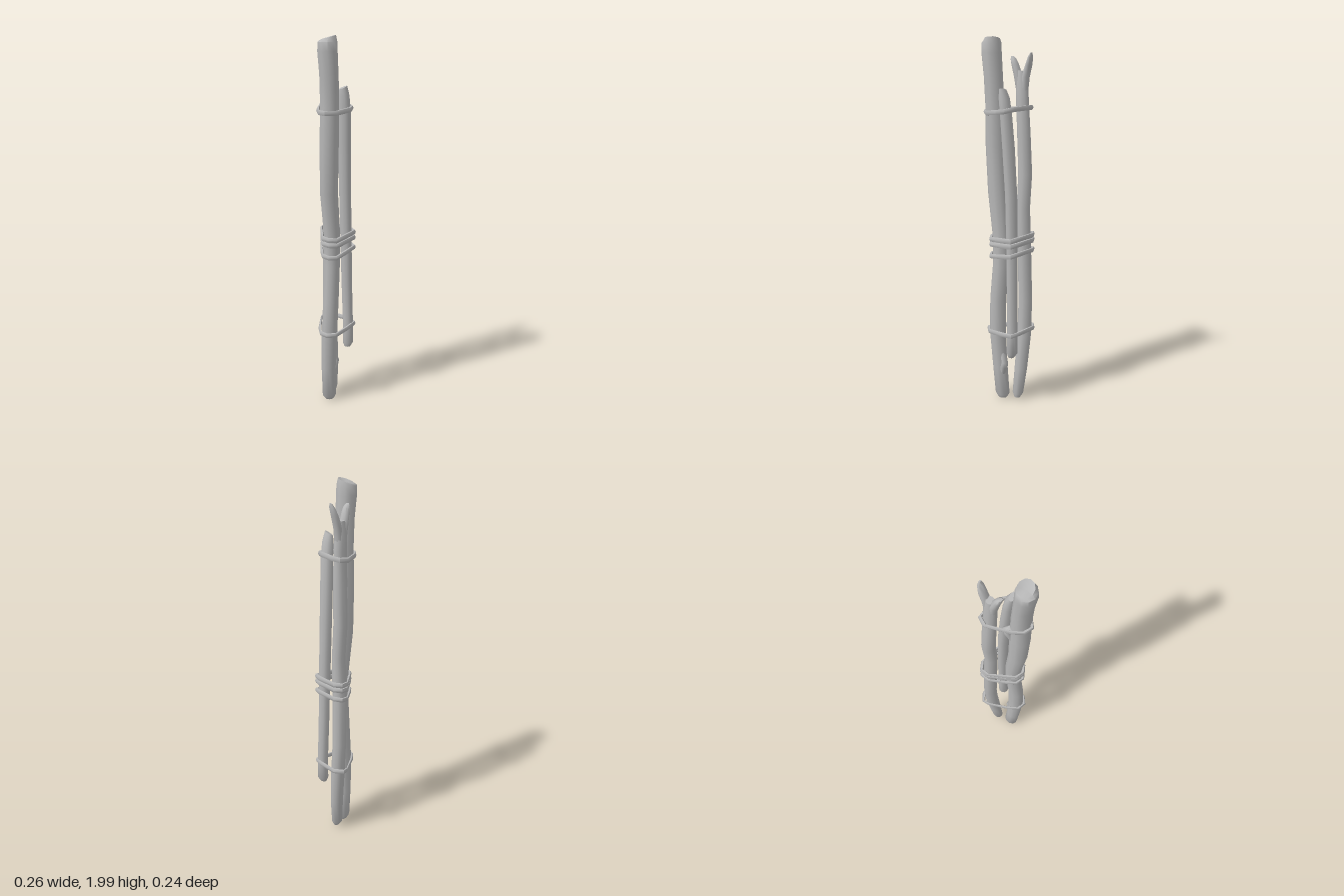
import * as THREE from 'three';
import { toCreasedNormals } from 'three/addons/utils/BufferGeometryUtils.js';

const wood = new THREE.MeshStandardMaterial({ color: 0xb8b8b8 });
wood.name = 'pale grey wood';

// Skin a list of equal-length rings of Vector3; either closed into a loop or capped
function skin(rings, closed, dent = 0) {
  const n = rings[0].length, m = rings.length;
  const pos = [], idx = [];
  rings.forEach(r => r.forEach(p => pos.push(p.x, p.y, p.z)));
  for (let i = 0; i < (closed ? m : m - 1); i++) {
    for (let j = 0; j < n; j++) {
      const k = (j + 1) % n, i2 = (i + 1) % m;
      const a = i * n + j, b = i * n + k, c = i2 * n + j, d = i2 * n + k;
      idx.push(a, b, c, b, d, c);
    }
  }
  if (!closed) {
    [0, m - 1].forEach(i => {
      const c = new THREE.Vector3();
      rings[i].forEach(p => c.addScaledVector(p, 1 / n));
      if (i) c.y -= dent;
      const ci = pos.length / 3;
      pos.push(c.x, c.y, c.z);
      for (let j = 0; j < n; j++) {
        const a = i * n + j, b = i * n + (j + 1) % n;
        if (i) idx.push(ci, a, b); else idx.push(ci, b, a);
      }
    });
  }
  const g = new THREE.BufferGeometry();
  g.setAttribute('position', new THREE.Float32BufferAttribute(pos, 3));
  g.setIndex(idx);
  return toCreasedNormals(g, 0.95);
}

// Stick from sections [y, x, z, radiusX, radiusZ]; tilt slopes the top end
function stick(sections, tilt = 0, dent = 0, sides = 10) {
  const last = sections.length - 1;
  return skin(sections.map(([y, x, z, rx, rz], i) => {
    const ring = [];
    for (let j = 0; j < sides; j++) {
      const a = j / sides * Math.PI * 2;
      const lift = i === last ? Math.cos(a + 0.9) * tilt : 0;
      ring.push(new THREE.Vector3(x + Math.cos(a) * rx, y + lift, z - Math.sin(a) * rz));
    }
    return ring;
  }), false, dent);
}

// Cord wrapped round the bundle: corners [x, z], height at x = 0, slope along x
function cord(corners, y, slope, thick) {
  return skin(corners.map(([x, z]) => {
    const out = new THREE.Vector3(x, 0, z).normalize();
    const h = y + slope * x - (z > 0.08 ? 0.006 : 0);
    const ring = [];
    for (let j = 0; j < 6; j++) {
      const a = j / 6 * Math.PI * 2;
      ring.push(new THREE.Vector3(x, h, z)
        .addScaledVector(out, (Math.cos(a) - 1) * thick * 0.7)
        .add(new THREE.Vector3(0, Math.sin(a) * thick, 0)));
    }
    return ring;
  }), true);
}

export function createModel() {
  const root = new THREE.Group();
  root.name = 'stickBundle';
  const add = (name, geometry, parent = root) => {
    const mesh = new THREE.Mesh(geometry, wood);
    mesh.name = name;
    parent.add(mesh);
  };

  // Thick stick with two stubs where twigs broke off
  const thick = new THREE.Group();
  thick.name = 'thickStick';
  root.add(thick);
  add('thickStem', stick([
    [0.008, -0.03, 0.015, 0.027, 0.025], [0.03, -0.032, 0.015, 0.042, 0.036],
    [0.2, -0.045, 0.02, 0.042, 0.04], [0.4, -0.052, 0.03, 0.047, 0.042],
    [0.6, -0.045, 0.035, 0.046, 0.042], [0.8, -0.028, 0.03, 0.046, 0.042],
    [0.97, -0.028, 0.03, 0.047, 0.042], [1.2, -0.054, 0.03, 0.052, 0.045],
    [1.45, -0.06, 0.035, 0.053, 0.05], [1.65, -0.06, 0.038, 0.049, 0.05],
    [1.8, -0.068, 0.04, 0.047, 0.052], [1.92, -0.08, 0.04, 0.051, 0.053],
    [1.965, -0.08, 0.04, 0.05, 0.052], [1.987, -0.075, 0.04, 0.038, 0.042],
  ], 0.012, 0.014), thick);
  add('lowerStub', stick([
    [0.14, -0.025, 0.025, 0.015, 0.015], [0.2, -0.008, 0.03, 0.02, 0.022],
    [0.235, 0.002, 0.033, 0.018, 0.02], [0.29, -0.02, 0.03, 0.012, 0.015],
  ]), thick);
  add('upperStub', stick([
    [1.42, -0.035, 0.01, 0.015, 0.015], [1.5, -0.018, -0.004, 0.022, 0.02],
    [1.535, -0.01, -0.01, 0.018, 0.017], [1.56, -0.025, 0, 0.012, 0.012],
  ]), thick);

  // Short slim stick at the front
  add('slimStick', stick([
    [0.3, 0.075, 0.06, 0.016, 0.018], [0.325, 0.08, 0.06, 0.029, 0.03],
    [0.45, 0.082, 0.058, 0.028, 0.03], [0.7, 0.075, 0.053, 0.028, 0.031],
    [0.95, 0.07, 0.05, 0.029, 0.033], [1.2, 0.062, 0.048, 0.03, 0.034],
    [1.45, 0.048, 0.053, 0.03, 0.036], [1.62, 0.037, 0.06, 0.028, 0.035],
    [1.7, 0.027, 0.062, 0.026, 0.032], [1.74, 0.018, 0.063, 0.015, 0.025],
  ], 0.01));

  // Forked stick at the back
  const fork = new THREE.Group();
  fork.name = 'forkedStick';
  root.add(fork);
  add('forkedStem', stick([
    [0.02, 0.05, -0.018, 0.018, 0.016], [0.045, 0.05, -0.024, 0.031, 0.028],
    [0.2, 0.062, -0.035, 0.036, 0.034], [0.4, 0.07, -0.052, 0.038, 0.038],
    [0.6, 0.068, -0.062, 0.037, 0.038], [0.9, 0.062, -0.058, 0.036, 0.037],
    [1.12, 0.06, -0.05, 0.036, 0.035], [1.3, 0.06, -0.063, 0.037, 0.036],
    [1.5, 0.056, -0.056, 0.037, 0.032], [1.68, 0.05, -0.05, 0.036, 0.028],
    [1.77, 0.046, -0.05, 0.034, 0.027], [1.83, 0.046, -0.05, 0.022, 0.02],
  ]), fork);
  add('leftProng', stick([
    [1.72, 0.058, -0.05, 0.022, 0.022], [1.8, 0.068, -0.052, 0.021, 0.022],
    [1.86, 0.088, -0.053, 0.016, 0.022], [1.9, 0.102, -0.05, 0.011, 0.017],
    [1.92, 0.108, -0.048, 0.004, 0.008],
  ]), fork);
  add('rightProng', stick([
    [1.72, 0.038, -0.05, 0.022, 0.022], [1.8, 0.025, -0.047, 0.023, 0.024],
    [1.86, 0.007, -0.042, 0.018, 0.022], [1.885, -0.002, -0.04, 0.014, 0.018],
    [1.9, -0.01, -0.04, 0.006, 0.01],
  ]), fork);

  // Cords tied round the sticks
  const upper = [[0.088, 0.05], [0.06, 0.1], [0.02, 0.119], [-0.075, 0.096], [-0.125, 0.055],
    [-0.115, 0.005], [-0.075, -0.036], [0.045, -0.106], [0.09, -0.09], [0.098, -0.03]];
  const middle = [[0.122, 0.045], [0.1, 0.094], [0.02, 0.094], [-0.06, 0.088], [-0.09, 0.05],
    [-0.082, 0.0], [-0.04, -0.04], [0.045, -0.105], [0.09, -0.109], [0.12, -0.07]];
  const lower = [[0.125, 0.045], [0.105, 0.094], [0.03, 0.098], [-0.07, 0.09], [-0.11, 0.055],
    [-0.105, 0.005], [-0.06, -0.04], [0.05, -0.11], [0.085, -0.118], [0.125, -0.075]];
  add('upperCord', cord(upper, 1.636, 0.12, 0.014));
  add('middleCordTop', cord(middle, 0.964, 0.1, 0.014));
  add('middleCordCentre', cord(middle, 0.935, 0.1, 0.014));
  add('middleCordBottom', cord(middle, 0.873, 0.17, 0.013));
  add('lowerCord', cord(lower, 0.432, 0.1, 0.013));
  return root;
}
